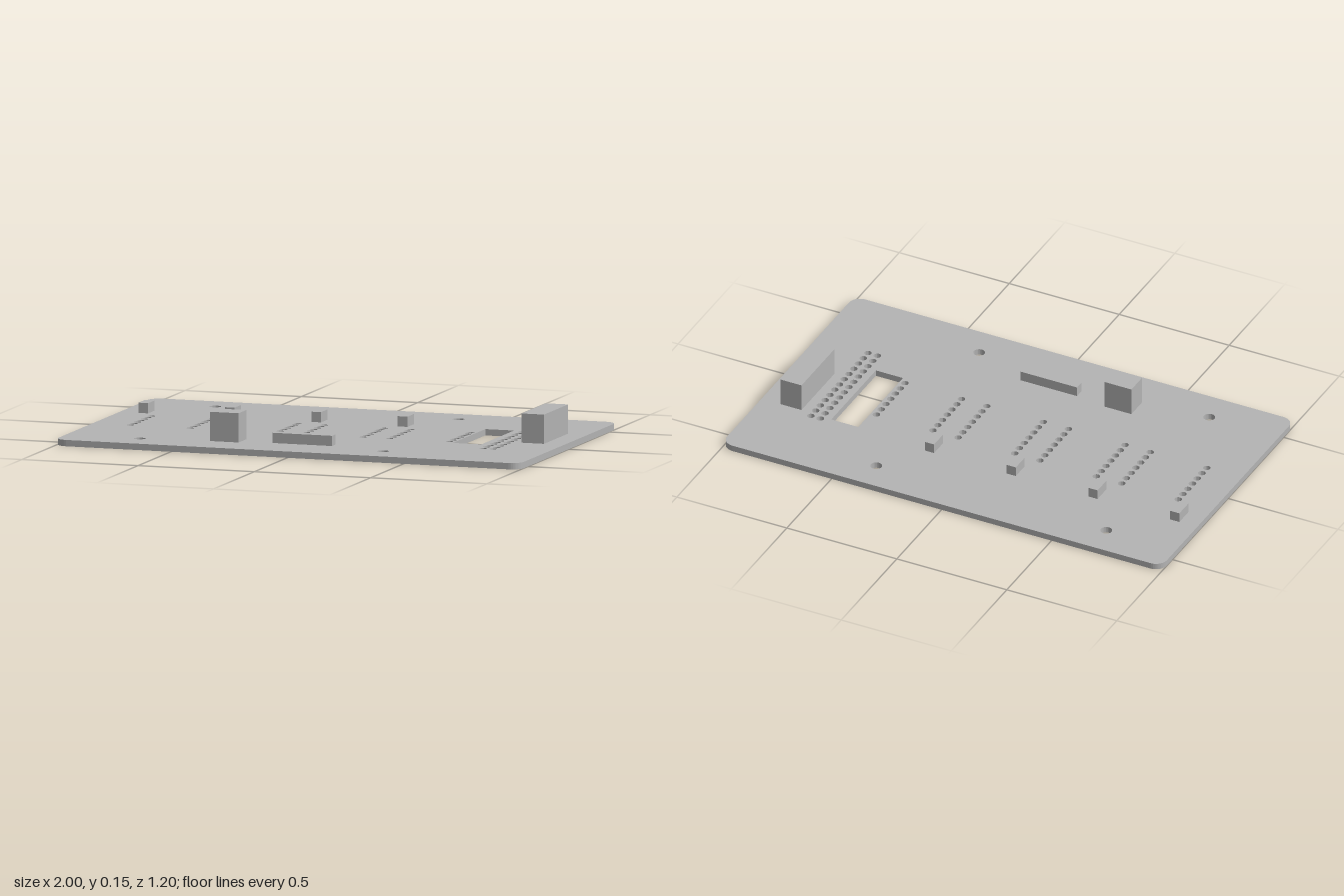
import * as THREE from 'three';
import { toCreasedNormals } from 'three/addons/utils/BufferGeometryUtils.js';

const HALF_X = 1, HALF_Z = 0.598, THICK = 0.026, CORNER = 0.05;
const PITCH = 0.0428, PIN_R = 0.0155, MOUNT_R = 0.024;

// Board outline in plan: shape y stands for z
function boardShape() {
  const s = new THREE.Shape();
  const cx = HALF_X - CORNER, cz = HALF_Z - CORNER;
  s.absarc(cx, cz, CORNER, 0, Math.PI / 2);
  s.absarc(-cx, cz, CORNER, Math.PI / 2, Math.PI);
  s.absarc(-cx, -cz, CORNER, Math.PI, Math.PI * 1.5);
  s.absarc(cx, -cz, CORNER, Math.PI * 1.5, Math.PI * 2);
  s.closePath();

  const hole = (x, z, r) => {
    const p = new THREE.Path();
    p.absarc(x, z, r, 0, Math.PI * 2, true);
    s.holes.push(p);
  };
  const pinColumn = (x, zMid, count) => {
    for (let i = 0; i < count; i++) hole(x, zMid + (i - (count - 1) / 2) * PITCH, PIN_R);
  };

  // Mounting holes
  for (const x of [-0.682, 0.364]) for (const z of [-0.465, 0.461]) hole(x, z, MOUNT_R);

  // Four pairs of socket columns, then the double header
  for (let i = 0; i < 4; i++) {
    const x = -0.84 + i * 0.3717;
    pinColumn(x, -0.003, 7);
    pinColumn(x + 0.257, -0.003, 7);
  }
  pinColumn(0.722, -0.003, 13);
  pinColumn(0.765, -0.003, 13);

  // Rectangular cut-out
  s.holes.push(new THREE.Path([
    [0.556, -0.246], [0.556, 0.155], [0.679, 0.155], [0.679, -0.246],
  ].map(([x, z]) => new THREE.Vector2(x, z))));
  return s;
}

export function createModel() {
  const model = new THREE.Group();
  model.name = 'circuitBoard';
  const grey = new THREE.MeshStandardMaterial({ color: 0xb4b4b4 });
  grey.name = 'plain grey';

  // Board plate
  const plate = new THREE.ExtrudeGeometry(boardShape(), {
    depth: THICK, bevelEnabled: false, curveSegments: 16,
  });
  plate.rotateX(Math.PI / 2).translate(0, THICK, 0);
  const board = new THREE.Mesh(toCreasedNormals(plate, 0.6), grey);
  board.name = 'board';
  model.add(board);

  // Block standing on the board, given by its plan limits and top height
  const block = (name, x0, x1, z0, z1, top) => {
    const m = new THREE.Mesh(new THREE.BoxGeometry(x1 - x0, top - THICK, z1 - z0), grey);
    m.position.set((x0 + x1) / 2, (top + THICK) / 2, (z0 + z1) / 2);
    m.name = name;
    model.add(m);
  };
  block('edgeConnector', 0.818, 0.914, -0.239, 0.056, 0.146);
  block('powerConnector', -0.39, -0.267, 0.338, 0.432, 0.146);
  block('resistorBar', -0.134, 0.123, 0.356, 0.398, 0.068);
  for (let i = 0; i < 4; i++) {
    const x = -0.898 + i * 0.3717;
    block('capacitor' + (i + 1), x - 0.021, x + 0.021, -0.277, -0.197, 0.068);
  }
  return model;
}
